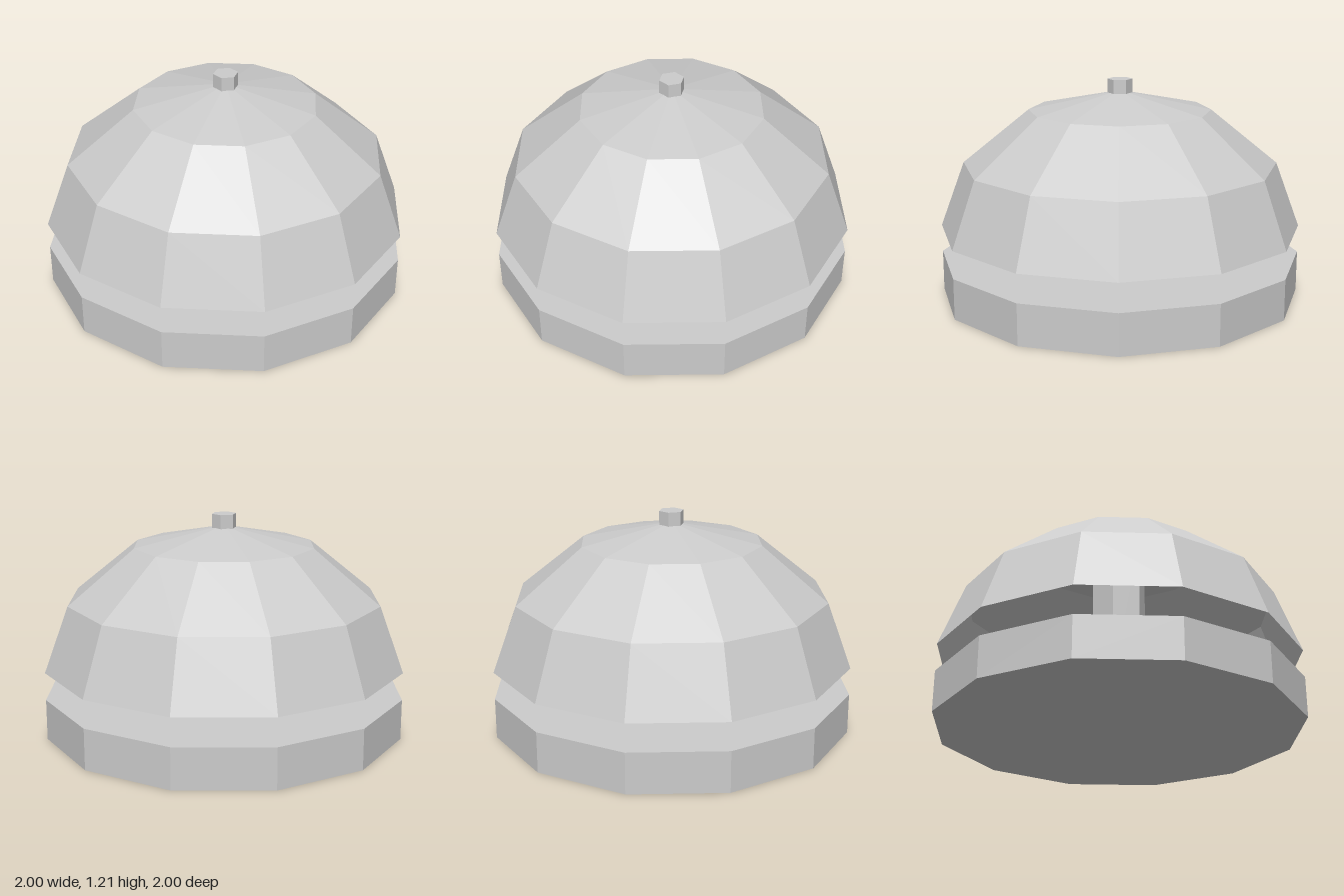
import * as THREE from 'three';

export function createModel() {
  const group = new THREE.Group();
  const solid = new THREE.MeshStandardMaterial({ color: 0xcccccc, flatShading: true });
  const shell = new THREE.MeshStandardMaterial({ color: 0xcccccc, flatShading: true, side: THREE.DoubleSide });

  // Upright prism between two heights
  function prism(name, radius, bottom, top, sides) {
    const mesh = new THREE.Mesh(new THREE.CylinderGeometry(radius, radius, top - bottom, sides), solid);
    mesh.position.y = (bottom + top) / 2;
    mesh.name = name;
    group.add(mesh);
  }

  prism('base', 1, 0, 0.224, 12);
  prism('post', 0.153, 0.22, 1.1, 6);
  prism('button', 0.068, 1.1, 1.205, 6);

  // Open twelve-sided dome
  const profile = [[1, 0.377], [0.866, 0.738], [0.5, 1.035], [0, 1.143]]
    .map(([r, y]) => new THREE.Vector2(r, y));
  const dome = new THREE.Mesh(new THREE.LatheGeometry(profile, 12), shell);
  dome.name = 'dome';
  group.add(dome);

  return group;
}
